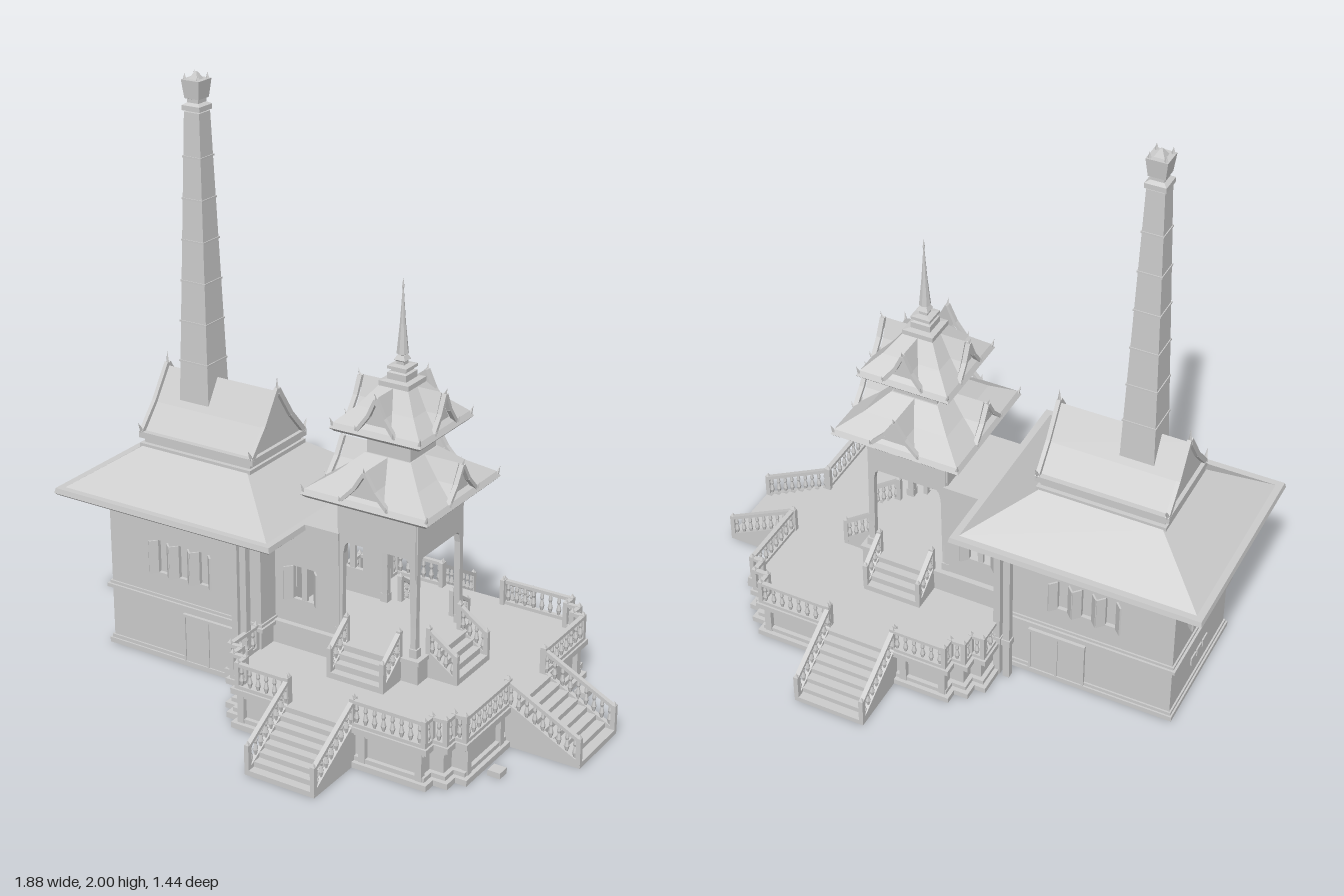
import * as THREE from 'three';
import { mergeGeometries } from 'three/addons/utils/BufferGeometryUtils.js';

const MAT = new THREE.MeshStandardMaterial({ color: 0xcccccc, flatShading: true, side: THREE.DoubleSide });
const V = (x, y, z) => new THREE.Vector3(x, y, z);
const clean = g => { const n = g.index ? g.toNonIndexed() : g; n.deleteAttribute('uv'); return n; };

// Merge a list of geometries into one named mesh
function part(name, geos) {
  const m = new THREE.Mesh(mergeGeometries([geos].flat(Infinity).map(clean)), MAT);
  m.name = name;
  return m;
}
// Box given by its limits
const box = (x0, x1, y0, y1, z0, z1) =>
  new THREE.BoxGeometry(x1 - x0, y1 - y0, z1 - z0).translate((x0 + x1) / 2, (y0 + y1) / 2, (z0 + z1) / 2);
// Rectangular frustum: half sizes a,b at y0 and c,d at y1
function frustum(cx, a, b, y0, c, d, y1) {
  const g = box(-1, 1, y0, y1, -1, 1), p = g.attributes.position;
  for (let i = 0; i < p.count; i++) {
    const top = p.getY(i) > (y0 + y1) / 2;
    p.setX(i, cx + p.getX(i) * (top ? c : a));
    p.setZ(i, p.getZ(i) * (top ? d : b));
  }
  return g;
}
// Square stack from [halfSize, y] pairs
const stack = (cx, pts) => pts.slice(1).map(([r, y], i) => frustum(cx, pts[i][0], pts[i][0], pts[i][1], r, r, y));
const shapeOf = pts => new THREE.Shape(pts.map(p => new THREE.Vector2(...p)));
const extrude = (s, depth) => new THREE.ExtrudeGeometry(s, { depth, bevelEnabled: false });
const rectPts = (x0, x1, y0, y1) => [[x0, y0], [x1, y0], [x1, y1], [x0, y1]];
// Wall panel in the xy plane with rectangular holes
function wall(x0, x1, y0, y1, holes, t = 0.015) {
  const s = shapeOf(rectPts(x0, x1, y0, y1));
  holes.forEach(h => s.holes.push(new THREE.Path(rectPts(...h).map(p => new THREE.Vector2(...p)))));
  return extrude(s, t).translate(0, 0, -t);
}
const mirrorZ = make => [1, -1].map(make);
// Bar between two points
function bar(a, b, w, h) {
  const g = new THREE.BoxGeometry(w, h, a.distanceTo(b));
  const o = new THREE.Object3D();
  o.lookAt(b.clone().sub(a));
  return g.applyQuaternion(o.quaternion).translate(...a.clone().add(b).multiplyScalar(0.5).toArray());
}

const DECK = 0.145, RAIL = 0.085;
const BALUSTER = new THREE.LatheGeometry(
  [[0.004, 0], [0.004, 0.012], [0.009, 0.03], [0.004, 0.052], [0.007, 0.06], [0.004, 0.08]].map(p => new THREE.Vector2(...p)), 6);
// Balustrade following a floor line
function railing(a, b) {
  const up = (p, h) => p.clone().add(V(0, h, 0));
  const out = [bar(up(a, RAIL), up(b, RAIL), 0.016, 0.012), bar(up(a, 0.006), up(b, 0.006), 0.016, 0.012)];
  const n = Math.max(1, Math.round(a.distanceTo(b) / 0.034));
  for (let i = 0; i < n; i++) {
    const p = a.clone().lerp(b, (i + 0.5) / n);
    out.push(BALUSTER.clone().translate(p.x, p.y, p.z));
  }
  [a, b].forEach(p => out.push(box(p.x - 0.008, p.x + 0.008, p.y, p.y + 0.093, p.z - 0.008, p.z + 0.008),
    new THREE.ConeGeometry(0.009, 0.014, 4).rotateY(Math.PI / 4).translate(p.x, p.y + 0.1, p.z)));
  return out;
}
// Stair descending along +x, with side strings and rails, later turned into place
function stair(r0, r1, y0, y1, half, n) {
  const pts = [[r0, y0], [r1, y0]], run = (r1 - r0) / n, rise = (y1 - y0) / n;
  for (let i = 0; i < n; i++) pts.push([r1 - i * run, y0 + (i + 1) * rise], [r1 - (i + 1) * run, y0 + (i + 1) * rise]);
  const side = shapeOf([[r0, y0], [r1, y0], [r1, y0 + 0.015], [r0, y1 + 0.01]]);
  return [extrude(shapeOf(pts), half * 2).translate(0, 0, -half),
    mirrorZ(s => [extrude(side, 0.014).translate(0, 0, s * half - 0.007),
      railing(V(r0, y1, s * half), V(r1 - 0.008, y0 + 0.012, s * half))])].flat(Infinity);
}

// Closed stepped outline of the terrace, moved inward by o
function terraceOutline(o) {
  const q = [[0.69, 0.41], [0.65, 0.41], [0.65, 0.46], [0.6, 0.46], [0.6, 0.505]], c = 0.235;
  const a = q.map(([x, z]) => [x - o, z - o]), mir = a.map(([x, z]) => [2 * c - x, z]).reverse();
  const half = [...a, ...mir];
  return shapeOf([...half, ...half.map(([x, z]) => [x, -z]).reverse()]);
}
// Terrace layer; a hollow one is only a wall ring
function terraceLayer(o, y0, y1, hollow = true) {
  const s = terraceOutline(o);
  if (hollow) s.holes.push(terraceOutline(0.045));
  return extrude(s, y1 - y0).rotateX(Math.PI / 2).translate(0, y1, 0);
}

// Pavilion roof tier: hip roof with a gable on each side and finials
function roofTier(y, e, h, top, gw) {
  const out = [frustum(0, e - 0.012, e - 0.012, y, e, e, y + 0.012), frustum(0, e, e, y + 0.012, e - 0.01, e - 0.01, y + 0.03),
    ...stack(0, [[e - 0.01, y + 0.03], [(e + top) / 2 - 0.008, y + 0.03 + (h - 0.03) * 0.45], [top, y + h]])];
  const gable = shapeOf([[-gw, y + 0.025], [gw, y + 0.025], [gw * 0.45, y + h * 0.55], [0, y + h], [-gw * 0.45, y + h * 0.55]]);
  for (let i = 0; i < 4; i++) {
    const horn = new THREE.ConeGeometry(0.006, 0.03, 4).rotateZ(-0.35);
    const pieces = [extrude(gable, e - 0.025).rotateY(Math.PI / 2)];
    // Bargeboards along the gable edge
    mirrorZ(s => {
      const p = [V(e - 0.012, y + 0.025, s * (gw + 0.008)), V(e - 0.012, y + h * 0.55, s * gw * 0.47), V(e - 0.012, y + h - 0.004, 0)];
      pieces.push(bar(p[0], p[1], 0.016, 0.012), bar(p[1], p[2], 0.016, 0.012), horn.clone().scale(0.8, 0.8, 0.8).translate(e, y + 0.035, s * (gw + 0.01)));
    });
    pieces.push(horn.clone().translate(e - 0.008, y + h + 0.005, 0));
    pieces.push(horn.clone().rotateY(-Math.PI / 4).translate(e - 0.005, y + 0.035, e - 0.005));
    pieces.forEach(g => out.push(g.rotateY(i * Math.PI / 2)));
  }
  return out.map(g => g.translate(0.2, 0, 0));
}

export function createModel() {
  const G = new THREE.Group(), add = (n, ...g) => G.add(part(n, g));

  // Terrace: moulded plinth wall, open underneath, with a deck
  add('terraceWall', terraceLayer(0, 0, 0.02), terraceLayer(0.015, 0.02, 0.035), terraceLayer(0.03, 0.035, 0.11), terraceLayer(0.015, 0.11, 0.125));
  add('terraceDeck', terraceLayer(0, 0.125, DECK, false));
  const pil = [];
  mirrorZ(s => [-0.1, 0.045, 0.36, 0.565].forEach(x => pil.push(box(x - 0.012, x + 0.012, 0.02, 0.125, s * 0.483 - 0.01, s * 0.483 + 0.01))));
  [-0.37, -0.16, 0.16, 0.37].forEach(z => pil.push(box(0.658, 0.678, 0.02, 0.125, z - 0.012, z + 0.012)));
  add('terracePilasters', pil);

  // Terrace balustrades
  const paths = [[[0.325, 0.49], [0.585, 0.49], [0.585, 0.445], [0.635, 0.445], [0.635, 0.395], [0.675, 0.395], [0.675, 0.122]],
    [[0.08, 0.49], [-0.11, 0.49], [-0.11, 0.445], [-0.16, 0.445], [-0.16, 0.395], [-0.205, 0.395], [-0.205, 0.25]]];
  add('terraceBalustrade', mirrorZ(s => paths.map(p => p.slice(1).map(([x, z], i) =>
    railing(V(p[i][0], DECK, s * p[i][1]), V(x, DECK, s * z))))));

  // Outer and inner stairs on three sides
  add('outerStairs', stair(0.67, 0.938, 0, DECK, 0.122, 8),
    mirrorZ(s => stair(0.48, 0.718, 0, DECK, 0.122, 8).map(g => g.rotateY(-s * Math.PI / 2).translate(0.202, 0, 0))));
  add('pavilionFloor', box(-0.19, 0.37, DECK, 0.215, -0.17, 0.17), box(-0.19, 0.375, 0.215, 0.23, -0.175, 0.175));
  add('innerStairs', [0, 1, -1].map(k => stair(0.17, 0.28, DECK, 0.23, 0.1, 4).map(g => g.rotateY(k * Math.PI / 2).translate(0.2, 0, 0))));
  add('groundBlocks', mirrorZ(s => box(0.712, 0.757, 0, 0.02, s * 0.295 - 0.022, s * 0.295 + 0.022)));

  // House walls with recessed windows, open underneath
  const wx = [-0.588, -0.503, -0.418], hw = 0.02, winY = [0.32, 0.44];
  const holes = wx.map(x => [x - hw, x + hw, ...winY]), zHoles = [-0.1, 0.1].map(z => [z - hw, z + hw, ...winY]);
  add('houseSideWalls', mirrorZ(s => wall(-0.81, -0.19, 0, 0.6, holes).translate(0, 0, s > 0 ? 0.24 : -0.225)));
  add('houseBackWall', wall(-0.24, 0.24, 0, 0.6, zHoles).rotateY(Math.PI / 2).translate(-0.795, 0, 0));
  add('houseFrontWall', wall(-0.24, 0.24, 0, 0.6, []).rotateY(Math.PI / 2).translate(-0.19, 0, 0));
  add('windowPanes', mirrorZ(s => box(-0.65, -0.36, 0.31, 0.45, s * 0.224 - 0.002, s * 0.224 + 0.002)), box(-0.796, -0.792, 0.31, 0.45, -0.14, 0.14));
  add('houseFloor', box(-0.8, -0.2, 0.21, 0.225, -0.23, 0.23));
  add('frontDoor', box(-0.19, -0.175, 0.23, 0.455, -0.125, 0.125), box(-0.175, -0.17, 0.305, 0.445, -0.055, 0.055));
  const ring = (o, y0, y1) => [mirrorZ(s => box(-0.81 - o, -0.19 + o, y0, y1, s * (0.235 + o / 2) - 0.005 - o / 2, s * (0.235 + o / 2) + 0.005 + o / 2)),
    box(-0.81 - o, -0.8, y0, y1, -0.24 - o, 0.24 + o), box(-0.2, -0.19 + o, y0, y1, -0.24 - o, 0.24 + o)];
  add('houseMouldings', ring(0.012, 0, 0.018), ring(0.006, 0.018, 0.03), ring(0.014, 0.215, 0.228), ring(0.006, 0.228, 0.238));
  add('undercroftColumns', [-0.68, -0.5, -0.32].map(x => mirrorZ(s => box(x - 0.012, x + 0.012, 0, 0.21, s * 0.1 - 0.012, s * 0.1 + 0.012))));
  add('lowerDoors', mirrorZ(s => [box(-0.5, -0.305, 0, 0.19, s * 0.243 - 0.004, s * 0.243 + 0.004),
    [-0.5, -0.403, -0.305].map(x => box(x - 0.004, x + 0.004, 0, 0.19, s * 0.246 - 0.005, s * 0.246 + 0.005)),
    box(-0.505, -0.3, 0.185, 0.195, s * 0.246 - 0.006, s * 0.246 + 0.006)]));
  add('backVents', [-0.05, 0, 0.05].map(z => box(-0.815, -0.809, 0.09, 0.12, z - 0.02, z + 0.02)));

  // Open shutters, hinged at both sides of each window
  const shutter = (x, z, s, e, w) => new THREE.BoxGeometry(0.032, 0.12, 0.006).translate(0.016 * e, 0, 0)
    .rotateY(-s * e * 0.8).translate(x + e * w, 0.38, z);
  const shutters = [];
  mirrorZ(s => [1, -1].forEach(e => {
    wx.forEach(x => shutters.push(shutter(x, s * 0.242, s, e, hw)));
    shutters.push(shutter(-0.075, s * 0.157, s, e, 0.042));
    shutters.push(shutter(s * 0.1, 0.81, 1, e, hw).rotateY(-Math.PI / 2));
  }));
  add('shutters', shutters);

  // Porch columns and covered link to the pavilion
  add('porchColumns', mirrorZ(s => [-0.247, -0.212].map(x => [box(x - 0.012, x + 0.012, 0, 0.58, s * 0.298 - 0.012, s * 0.298 + 0.012),
    box(x - 0.016, x + 0.016, DECK, 0.17, s * 0.298 - 0.016, s * 0.298 + 0.016)])));
  add('linkWalls', mirrorZ(s => wall(-0.19, 0.06, DECK, 0.59, [[-0.117, -0.033, ...winY]]).translate(0, 0, s > 0 ? 0.155 : -0.14)));
  add('linkWindowPosts', mirrorZ(s => box(-0.085, -0.065, 0.32, 0.44, s * 0.148 - 0.006, s * 0.148 + 0.006)));
  add('linkRoof', box(-0.19, 0.06, 0.575, 0.6, -0.158, 0.158));

  // House hip roof and upper gable roof
  const rx = -0.503;
  add('houseRoof', frustum(rx, 0.43, 0.362, 0.575, 0.438, 0.37, 0.582), frustum(rx, 0.438, 0.37, 0.582, 0.434, 0.366, 0.6),
    frustum(rx, 0.41, 0.343, 0.6, 0.215, 0.165, 0.732));
  add('upperRoofBase', box(rx - 0.225, rx + 0.225, 0.728, 0.742, -0.165, 0.165), box(rx - 0.215, rx + 0.215, 0.742, 0.758, -0.15, 0.15),
    box(rx - 0.232, rx + 0.232, 0.758, 0.78, -0.16, 0.16));
  const gable = shapeOf([[-0.145, 0.775], [0.145, 0.775], [0.073, 0.86], [0, 0.968], [-0.073, 0.86]]);
  add('upperGableRoof', extrude(gable, 0.436).rotateY(Math.PI / 2).translate(rx - 0.218, 0, 0));
  const trims = [];
  [-1, 1].forEach(e => {
    const x = rx + e * 0.224;
    mirrorZ(s => {
      trims.push(bar(V(x, 0.775, s * 0.155), V(x, 0.865, s * 0.075), 0.014, 0.018), bar(V(x, 0.865, s * 0.075), V(x, 0.978, 0), 0.014, 0.018));
      trims.push(new THREE.ConeGeometry(0.01, 0.05, 4).rotateX(s * 0.5).translate(x, 0.795, s * 0.162));
    });
    trims.push(new THREE.ConeGeometry(0.009, 0.06, 4).translate(x, 0.99, 0));
  });
  add('gableTrim', trims);

  // Tapered chimney with bands and crown
  const cx = -0.576, cr = y => 0.059 - (y - 0.88) * 0.0293;
  add('chimney', stack(cx, [[cr(0.88), 0.88], [cr(1.87), 1.87]]));
  const bands = [];
  for (let y = 1.02; y < 1.85; y += 0.14) bands.push(...stack(cx, [[cr(y) + 0.003, y], [cr(y) + 0.003, y + 0.006]]));
  add('chimneyBands', bands);
  add('chimneyCrown', stack(cx, [[0.035, 1.875], [0.035, 1.892], [0.022, 1.9], [0.022, 1.912], [0.028, 1.914], [0.035, 1.975]]),
    [-1, 1].map(a => mirrorZ(s => new THREE.ConeGeometry(0.008, 0.024, 4).translate(cx + a * 0.026, 1.984, s * 0.026))),
    stack(cx, [[0.02, 1.97], [0.004, 1.998]]));

  // Pavilion: four arched sides
  const arch = shapeOf([[-0.152, 0.23], [-0.13, 0.23], [-0.126, 0.53], [-0.12, 0.56], [-0.11, 0.572], [0.11, 0.572], [0.12, 0.56],
    [0.126, 0.53], [0.13, 0.23], [0.152, 0.23], [0.145, 0.6], [0.145, 0.74], [-0.145, 0.74], [-0.145, 0.6]]);
  add('pavilionArches', [0, 1, 2, 3].map(i => extrude(arch, 0.02).translate(0, 0, 0.13).rotateY(i * Math.PI / 2).translate(0.2, 0, 0)));
  add('pavilionPosts', [-1, 1].map(a => mirrorZ(s => box(0.2 + a * 0.143 - 0.014, 0.2 + a * 0.143 + 0.014, 0.23, 0.26, s * 0.143 - 0.014, s * 0.143 + 0.014))));
  add('pavilionCornice', stack(0.2, [[0.147, 0.7], [0.158, 0.715], [0.158, 0.725], [0.147, 0.74]]));
  add('lowerRoofTier', roofTier(0.735, 0.235, 0.138, 0.085, 0.077));
  add('upperNeck', stack(0.2, [[0.08, 0.86], [0.08, 0.93], [0.098, 0.94], [0.098, 0.95], [0.085, 0.96]]));
  add('upperRoofTier', roofTier(0.955, 0.168, 0.143, 0.055, 0.06));

  // Spire
  add('spireBase', stack(0.2, [[0.055, 1.095], [0.055, 1.115], [0.035, 1.118], [0.035, 1.14], [0.026, 1.143], [0.026, 1.15], [0.035, 1.152], [0.035, 1.162],
    [0.014, 1.165], [0.014, 1.175], [0.02, 1.18], [0.012, 1.195]]));
  add('spire', new THREE.LatheGeometry([[0, 1.19], [0.02, 1.2], [0.01, 1.3], [0.003, 1.4], [0.002, 1.41], [0.004, 1.42], [0, 1.45]]
    .map(p => new THREE.Vector2(...p)), 8).translate(0.2, 0, 0));
  return G;
}
